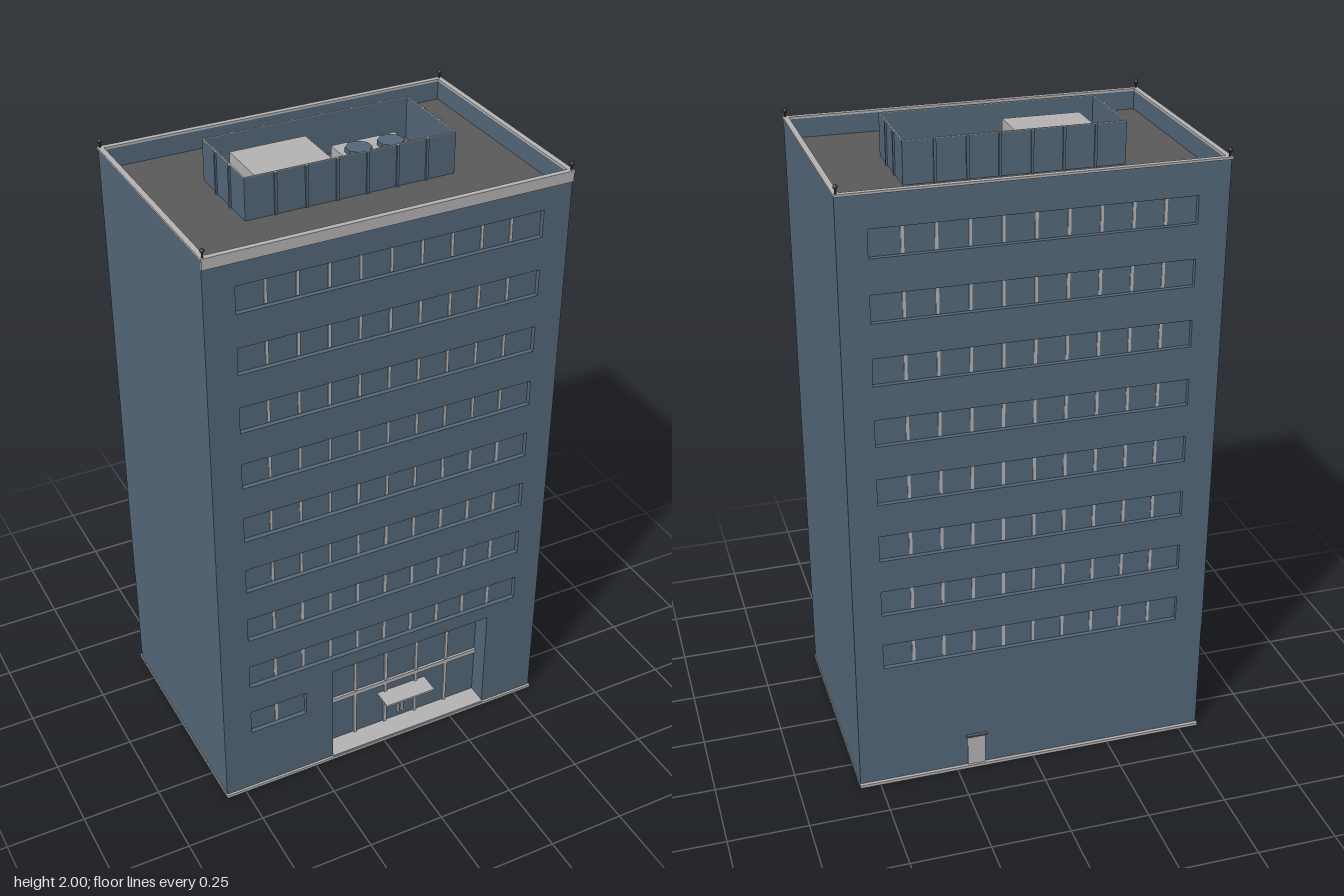
import * as THREE from 'three';

export function createModel() {
  const model = new THREE.Group();
  model.name = 'officeTower';

  const mat = (name, color) => {
    const m = new THREE.MeshStandardMaterial({ color });
    m.name = name;
    return m;
  };
  const blue = mat('slate blue', 0x536779);
  const grey = mat('light grey', 0xb4b2b2);
  const dark = mat('roof grey', 0x5a5a5a);
  const black = mat('charcoal', 0x333333);

  const add = (parent, name, geometry, material, x = 0, y = 0, z = 0) => {
    const mesh = new THREE.Mesh(geometry, material);
    mesh.name = name;
    mesh.position.set(x, y, z);
    parent.add(mesh);
    return mesh;
  };
  // Box given by its limits on each axis
  const box = (parent, name, material, x0, x1, y0, y1, z0, z1) =>
    add(parent, name, new THREE.BoxGeometry(x1 - x0, y1 - y0, z1 - z0), material,
      (x0 + x1) / 2, (y0 + y1) / 2, (z0 + z1) / 2);
  const rect = (x0, x1, y0, y1, Type = THREE.Shape) => {
    const p = new Type();
    p.moveTo(x0, y0);
    p.lineTo(x1, y0);
    p.lineTo(x1, y1);
    p.lineTo(x0, y1);
    p.closePath();
    return p;
  };
  const panel = (outer, holes, depth) => {
    const shape = rect(...outer);
    holes.forEach(h => shape.holes.push(rect(...h, THREE.Path)));
    return new THREE.ExtrudeGeometry(shape, { depth, bevelEnabled: false });
  };

  const W = 0.562, D = 0.367, ROOF = 1.87, TOP = 1.93;
  const rows = Array.from({ length: 8 }, (_, i) => 0.47 + i * 0.1885);
  const ribbons = rows.map(y => [-0.47, 0.475, y - 0.042, y + 0.042]);
  const lobbyWindow = [-0.47, -0.28, 0.24, 0.325];
  const entrance = [-0.186, 0.377, 0.012, 0.377];

  // Body, base and walls
  box(model, 'baseSlab', grey, -0.565, 0.565, 0, 0.01, -0.375, 0.375);
  box(model, 'core', blue, -W, W, 0.01, ROOF, -0.342, 0.297);
  add(model, 'frontWall', panel([-W, W, 0.01, ROOF], [...ribbons, lobbyWindow, entrance], 0.07),
    blue, 0, 0, 0.297);
  add(model, 'backWall', panel([-W, W, 0.38, ROOF], ribbons, 0.025), blue, 0, 0, -D);
  box(model, 'backLowerWall', blue, -W, W, 0.01, 0.38, -0.364, -0.342);

  // Ribbon windows with mullions, front and back
  const windowStrip = (name, [x0, x1, y0, y1], bars, side) => {
    const g = new THREE.Group();
    g.name = name;
    const zGlass = side * 0.352, zIn = side * 0.29;
    box(g, 'glass', blue, x0, x1, y0, y1, Math.min(zGlass, zIn), Math.max(zGlass, zIn));
    bars.forEach(x =>
      box(g, 'mullion', grey, x - 0.0045, x + 0.0045, y0 + 0.003, y1 - 0.003,
        zGlass - 0.003, zGlass + 0.003));
    model.add(g);
  };
  const bars = [-4, -3, -2, -1, 0, 1, 2, 3, 4].map(i => i * 0.0945);
  ribbons.forEach(r => {
    windowStrip('frontWindow', r, bars, 1);
    windowStrip('backWindow', r, bars, -1);
  });
  windowStrip('lobbyWindow', lobbyWindow, [-0.378], 1);

  // Recessed glazed entrance
  const entry = new THREE.Group();
  entry.name = 'entrance';
  model.add(entry);
  box(entry, 'entranceFloor', grey, -0.186, 0.377, 0.008, 0.014, 0.297, 0.372);
  box(entry, 'entranceGlass', blue, -0.186, 0.377, 0.012, 0.377, 0.297, 0.302);
  [-0.074, 0.038, 0.151, 0.264].forEach(x =>
    box(entry, 'entranceMullion', grey, x - 0.005, x + 0.005, 0.012, 0.377, 0.3, 0.308));
  box(entry, 'entranceTransom', grey, -0.186, 0.377, 0.181, 0.197, 0.3, 0.31);
  box(entry, 'doorHeader', grey, 0.038, 0.151, 0.108, 0.119, 0.3, 0.309);
  [0.087, 0.102].forEach(x =>
    box(entry, 'doorHandle', grey, x - 0.003, x + 0.003, 0.035, 0.08, 0.302, 0.312));
  box(entry, 'entranceCanopy', grey, 0.01, 0.187, 0.14, 0.147, 0.3, 0.37);

  // Service door at the back
  box(model, 'serviceDoor', grey, 0.158, 0.214, 0.01, 0.112, -0.368, -0.362);
  box(model, 'serviceCanopy', dark, 0.152, 0.22, 0.118, 0.123, -0.375, -0.362);

  // Parapet, coping and front fascia
  const ring = (name, material, w, d, iw, id, y0, y1) => {
    const m = add(model, name, panel([-w, w, -d, d], [[-iw, iw, -id, id]], y1 - y0), material, 0, y0, 0);
    m.rotation.x = -Math.PI / 2;
  };
  ring('parapet', blue, W, D, 0.547, 0.357, ROOF, TOP);
  ring('coping', grey, 0.564, 0.374, 0.547, 0.357, TOP, 1.937);
  box(model, 'frontFascia', grey, -W, W, 1.903, TOP, D, 0.373);
  box(model, 'roofDeck', dark, -0.547, 0.547, ROOF - 0.005, ROOF + 0.002, -0.357, 0.357);

  // Corner lamps on the coping
  for (const x of [-0.556, 0.556]) for (const z of [-0.366, 0.366]) {
    add(model, 'lampStem', new THREE.CylinderGeometry(0.003, 0.003, 0.02, 8), black, x, 1.945, z);
    add(model, 'lampGlobe', new THREE.SphereGeometry(0.007, 10, 8), black, x, 1.956, z);
  }

  // Rooftop plant behind a screen with pale capping
  const plant = new THREE.Group();
  plant.name = 'rooftopPlant';
  model.add(plant);
  const sx = 0.327, z0 = -0.16, z1 = 0.12, t = 0.004;
  const capped = (name, x0, x1, za, zb) => {
    box(plant, name, blue, x0, x1, ROOF, 1.998, za, zb);
    box(plant, name + 'Cap', grey, x0, x1, 1.998, 2, za, zb);
  };
  capped('screenFront', -sx, sx, z1 - t, z1);
  capped('screenBack', -sx, sx, z0, z0 + t);
  capped('screenLeft', sx - t, sx, z0 + t, z1 - t);
  capped('screenRight', -sx, t - sx, z0 + t, z1 - t);
  for (const z of [-0.067, 0.027]) {
    capped('screenPost', sx, sx + 0.005, z - 0.004, z + 0.004);
    capped('screenPost', -sx - 0.005, -sx, z - 0.004, z + 0.004);
  }
  for (let i = 0; i < 6; i++) {
    const x = -0.235 + i * 0.094;
    capped('screenPost', x - 0.004, x + 0.004, z1, z1 + 0.005);
    capped('screenPost', x - 0.004, x + 0.004, z0 - 0.005, z0);
  }
  box(plant, 'plantRoom', grey, -0.265, -0.029, ROOF, 1.965, -0.115, 0.072);
  box(plant, 'coolingUnit', grey, 0.045, 0.252, ROOF, 1.925, -0.1, 0.04);
  for (const x of [0.098, 0.202]) {
    const fan = new THREE.CylinderGeometry(0.04, 0.04, 0.016, 8).toNonIndexed();
    fan.computeVertexNormals();
    fan.rotateY(Math.PI / 8);
    add(plant, 'coolingFan', fan, blue, x, 1.932, -0.03);
  }

  return model;
}
